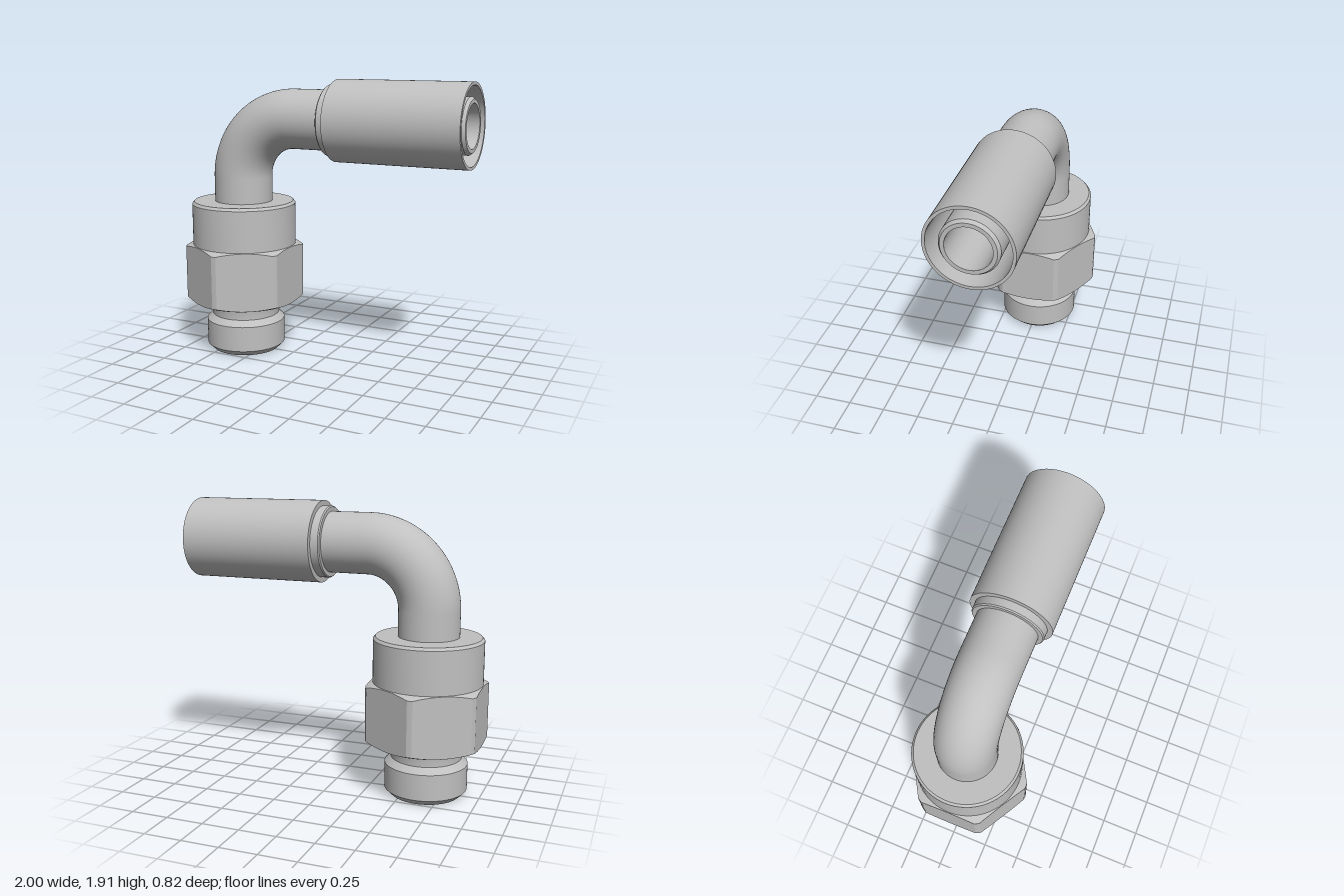
import * as THREE from 'three';
import { toCreasedNormals } from 'three/addons/utils/BufferGeometryUtils.js';

const AXIS_X = -0.635; // vertical axis of the fitting
const PIPE_Y = 1.645;  // height of the horizontal axis
const BEND = 0.41;     // bend radius of the elbow

const steel = new THREE.MeshStandardMaterial({ color: 0xc0c0c0, side: THREE.DoubleSide });
steel.name = 'steel';

function add(parent, name, geometry) {
  const mesh = new THREE.Mesh(geometry, steel);
  mesh.name = name;
  parent.add(mesh);
  return mesh;
}

function lathe(profile, segments = 72) {
  return new THREE.LatheGeometry(profile.map(([r, y]) => new THREE.Vector2(r, y)), segments);
}

const sharp = (geometry) => toCreasedNormals(geometry, 0.3);

// Straight, quarter bend, straight
function elbow(startY, endX, radius) {
  const v = (x, y) => new THREE.Vector3(x, y, 0);
  const k = BEND * 0.5523;
  const low = v(AXIS_X, PIPE_Y - BEND);
  const high = v(AXIS_X + BEND, PIPE_Y);
  const path = new THREE.CurvePath();
  path.add(new THREE.LineCurve3(v(AXIS_X, startY), low));
  path.add(new THREE.CubicBezierCurve3(low, v(low.x, low.y + k), v(high.x - k, high.y), high));
  path.add(new THREE.LineCurve3(high, v(endX, PIPE_Y)));
  return new THREE.TubeGeometry(path, 90, radius, 56, false);
}

// Hexagon with turned corners and conical chamfers at both ends
function hexNut() {
  const flat = 0.365, corner = 0.412, drop = 0.022;
  const bottom = 0.353, top = 0.762, mid = (bottom + top) / 2;
  const geometry = lathe([
    [0.24, bottom], [0.36, bottom], [corner, bottom], [corner, top], [0.36, top], [0.3, top],
  ], 144);
  const p = geometry.attributes.position;
  for (let i = 0; i < p.count; i++) {
    const x = p.getX(i), y = p.getY(i), z = p.getZ(i);
    if (Math.hypot(x, z) < 0.4) continue;
    const angle = Math.atan2(z, x);
    const offset = angle - Math.round(angle / (Math.PI / 3)) * (Math.PI / 3);
    const r = Math.min(corner, flat / Math.cos(offset));
    const lower = drop * (r - 0.36) / (corner - 0.36);
    p.setXYZ(i, r * Math.cos(angle), y > mid ? y - lower : y + lower, r * Math.sin(angle));
  }
  return sharp(geometry);
}

export function createModel() {
  const model = new THREE.Group();
  model.name = 'elbowHoseFitting';

  // Vertical connector
  const connector = new THREE.Group();
  connector.name = 'connector';
  connector.position.x = AXIS_X;
  model.add(connector);
  add(connector, 'threadedEnd', sharp(lathe([
    [0.14, 0.3], [0.19, 0], [0.235, 0], [0.275, 0.04], [0.275, 0.215], [0.235, 0.255],
    [0.235, 0.325], [0.24, 0.342], [0.255, 0.354],
  ])));
  add(connector, 'hexNut', hexNut());
  add(connector, 'collar', sharp(lathe([
    [0.36, 0.74], [0.36, 1.047], [0.345, 1.065], [0.19, 1.065],
  ])));

  // Bent pipe with its bore
  add(model, 'bentPipe', elbow(1.0, 0.1, 0.2));
  add(model, 'bore', elbow(0.3, 1.0, 0.14));

  // Horizontal hose end, turned around the x axis
  const hoseEnd = new THREE.Group();
  hoseEnd.name = 'hoseEnd';
  hoseEnd.position.y = PIPE_Y;
  hoseEnd.rotation.z = -Math.PI / 2;
  model.add(hoseEnd);
  add(hoseEnd, 'stopRing', sharp(lathe([
    [0.19, 0.035], [0.228, 0.035], [0.235, 0.043], [0.235, 0.1],
  ])));
  add(hoseEnd, 'crimpSleeve', sharp(lathe([
    [0.2, 0.095], [0.27, 0.095], [0.27, 1], [0.25, 1], [0.25, 0.3], [0.225, 0.27], [0.17, 0.27],
  ])));
  add(hoseEnd, 'hoseNipple', sharp(lathe([
    [0.18, 0.26], [0.18, 0.98], [0.165, 1], [0.14, 1],
  ])));

  return model;
}
